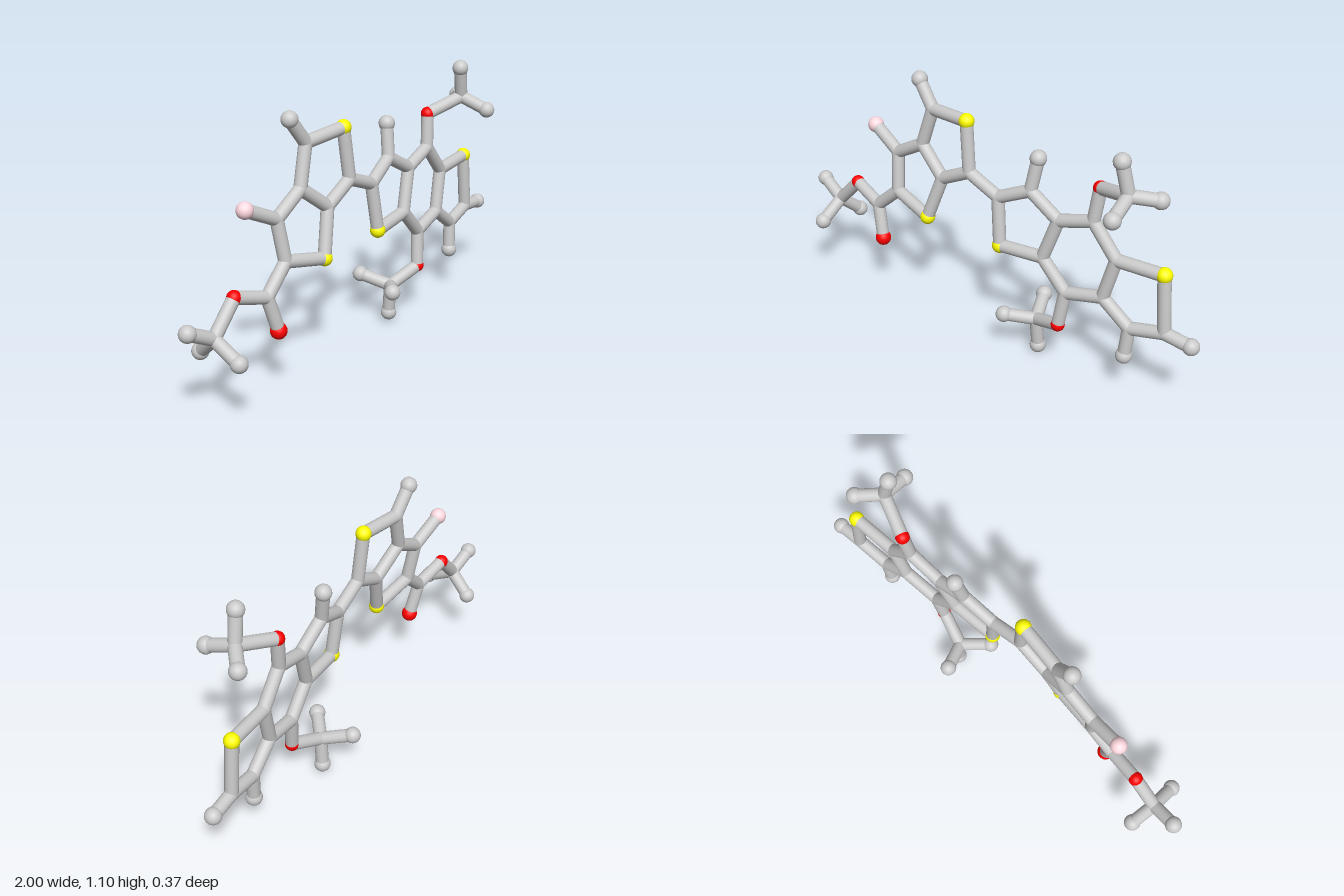
import * as THREE from 'three';

const BOND_R = 0.027;
const grey = new THREE.MeshStandardMaterial({ color: 0xcccccc });
const yellow = new THREE.MeshStandardMaterial({ color: 0xffff00 });
const red = new THREE.MeshStandardMaterial({ color: 0xff0000 });
const pink = new THREE.MeshStandardMaterial({ color: 0xffd9e0 });

// Kinds of ball: joints are flush with the rods, ends are slightly larger
const KINDS = {
  joint: { name: 'carbonJoint', r: BOND_R, mat: grey },
  end: { name: 'endBall', r: 0.034, mat: grey },
  sulfur: { name: 'sulfurBall', r: 0.032, mat: yellow },
  oxygen: { name: 'oxygenBall', r: 0.029, mat: red },
  oxygenEnd: { name: 'oxygenEndBall', r: 0.034, mat: red },
  fluorine: { name: 'fluorineBall', r: 0.034, mat: pink },
};

// Each fragment: atoms as key: [kind, x, y, z]
const FRAGMENTS = {
  leftFusedRings: {
    a1: ['joint', -0.30, 0.957, -0.04],
    a2: ['sulfur', -0.10, 0.973, -0.012],
    a3: ['joint', -0.078, 0.757, 0],
    a4: ['joint', -0.22, 0.683, 0],
    a5: ['joint', -0.35, 0.788, -0.028],
    a6: ['joint', -0.49, 0.706, -0.03],
    a7: ['joint', -0.475, 0.535, -0.005],
    a8: ['sulfur', -0.28, 0.492, 0.03],
    aH: ['end', -0.377, 1.064, -0.052],
    aF: ['fluorine', -0.637, 0.78, -0.055],
  },
  esterGroup: {
    e1: ['joint', -0.59, 0.43, 0],
    e2: ['oxygenEnd', -0.553, 0.283, 0.02],
    e3: ['oxygen', -0.74, 0.476, -0.03],
    e4: ['joint', -0.855, 0.353, -0.03],
    e5: ['end', -0.967, 0.412, -0.05],
    e6: ['end', -0.832, 0.268, -0.124],
    e7: ['end', -0.855, 0.288, 0.09],
  },
  rightFusedRings: {
    b1: ['joint', 0.07, 0.695, 0],
    b2: ['sulfur', 0.093, 0.487, 0.016],
    b3: ['joint', 0.297, 0.503, 0.003],
    b4: ['joint', 0.355, 0.683, -0.015],
    b5: ['joint', 0.215, 0.765, -0.02],
    b6: ['joint', 0.51, 0.733, -0.025],
    b7: ['joint', 0.62, 0.60, -0.027],
    b8: ['joint', 0.575, 0.42, -0.015],
    b9: ['joint', 0.41, 0.38, 0],
    b10: ['sulfur', 0.827, 0.61, -0.036],
    b11: ['joint', 0.848, 0.36, -0.033],
    b12: ['joint', 0.70, 0.325, -0.02],
    bH1: ['end', 0.233, 0.904, -0.042],
    bH2: ['end', 0.965, 0.347, -0.036],
    bH3: ['end', 0.69, 0.197, -0.012],
  },
  upperMethoxy: {
    u1: ['oxygen', 0.527, 0.877, -0.036],
    u2: ['joint', 0.69, 0.928, 0.03],
    u3: ['end', 0.66, 1.062, 0.04],
    u4: ['end', 0.78, 0.906, -0.048],
    u5: ['end', 0.703, 0.885, 0.152],
  },
  lowerMethoxy: {
    l1: ['oxygen', 0.39, 0.227, 0.015],
    l2: ['joint', 0.25, 0.17, -0.03],
    l3: ['end', 0.147, 0.195, 0.055],
    l4: ['end', 0.2, 0.21, -0.153],
    l5: ['end', 0.255, 0.037, -0.04],
  },
};

// Chains of connected atoms; each consecutive pair becomes a rod
const CHAINS = {
  leftFusedRings: ['a1 a2 a3 a4 a5 a1 aH', 'a5 a6 a7 a8 a4', 'a6 aF'],
  esterGroup: ['a7 e1 e2', 'e1 e3 e4 e5', 'e6 e4 e7'],
  rightFusedRings: ['a3 b1 b2 b3 b4 b5 b1', 'b4 b6 b7 b8 b9 b3',
    'b7 b10 b11 b12 b8', 'b5 bH1', 'b11 bH2', 'b12 bH3'],
  upperMethoxy: ['b6 u1 u2 u3', 'u4 u2 u5'],
  lowerMethoxy: ['b9 l1 l2 l3', 'l4 l2 l5'],
};

const ballGeometry = new THREE.SphereGeometry(1, 24, 16);
const rodGeometry = new THREE.CylinderGeometry(BOND_R, BOND_R, 1, 20, 1, true);
const UP = new THREE.Vector3(0, 1, 0);

function makeBall(kind, position) {
  const { name, r, mat } = KINDS[kind];
  const ball = new THREE.Mesh(ballGeometry, mat);
  ball.name = name;
  ball.position.copy(position);
  ball.scale.setScalar(r);
  return ball;
}

function makeRod(from, to) {
  const dir = to.clone().sub(from);
  const rod = new THREE.Mesh(rodGeometry, grey);
  rod.name = 'bondRod';
  rod.position.copy(from).addScaledVector(dir, 0.5);
  rod.scale.y = dir.length();
  rod.quaternion.setFromUnitVectors(UP, dir.normalize());
  return rod;
}

export function createModel() {
  const model = new THREE.Group();
  model.name = 'stickMolecule';
  const at = {};

  // Balls, grouped by fragment
  for (const [name, atoms] of Object.entries(FRAGMENTS)) {
    const group = new THREE.Group();
    group.name = name;
    for (const [key, [kind, x, y, z]] of Object.entries(atoms)) {
      at[key] = new THREE.Vector3(x, y, z);
      group.add(makeBall(kind, at[key]));
    }
    model.add(group);
  }

  // Rods joining the balls
  for (const group of model.children) {
    for (const chain of CHAINS[group.name]) {
      const keys = chain.split(' ');
      for (let i = 1; i < keys.length; i++) group.add(makeRod(at[keys[i - 1]], at[keys[i]]));
    }
  }
  return model;
}
